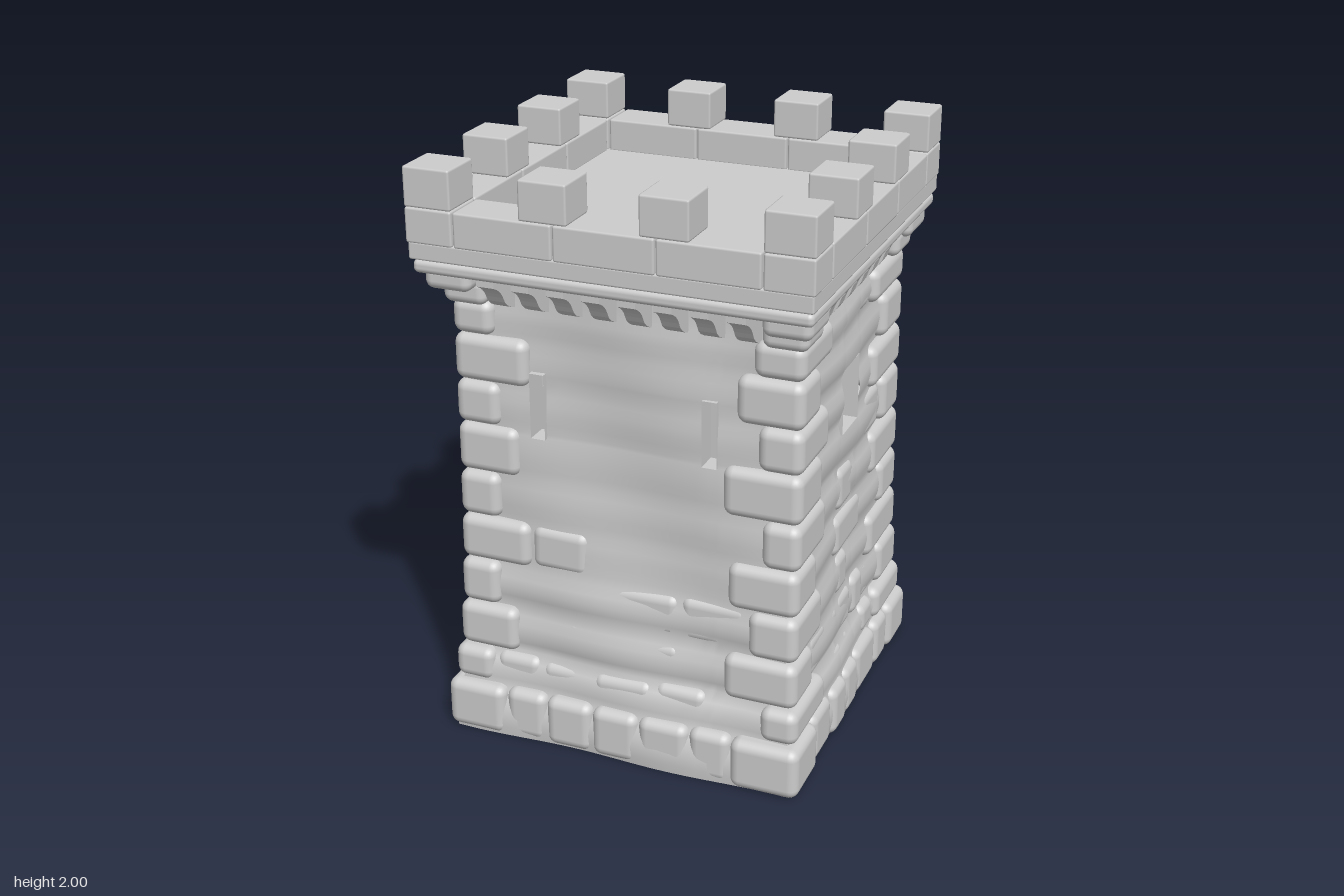
import * as THREE from 'three';
import { RoundedBoxGeometry } from 'three/addons/geometries/RoundedBoxGeometry.js';

const stone = new THREE.MeshStandardMaterial({ color: 0xcccccc, side: THREE.DoubleSide });
stone.name = 'light grey stone';

// Heights of the masonry courses, and outer half sizes [height, half size]
const courses = [0, 0.18, 0.3, 0.46, 0.62, 0.78, 0.94, 1.11, 1.26, 1.42, 1.54];
const halfX = [[0, 0.64], [0.18, 0.625], [0.3, 0.605], [0.6, 0.595], [1.7, 0.595]];
const halfZ = [[0, 0.64], [0.18, 0.605], [0.3, 0.575], [0.6, 0.55], [1, 0.535], [1.7, 0.53]];

function sample(profile, y) {
  for (let i = 1; i < profile.length; i++) {
    const [y0, a] = profile[i - 1], [y1, b] = profile[i];
    if (y <= y1) return a + (b - a) * (y - y0) / (y1 - y0);
  }
  return profile[profile.length - 1][1];
}

let seed = 11;
function rand() {
  seed = (seed * 16807) % 2147483647;
  return seed / 2147483647;
}

function add(parent, geometry, name, x = 0, y = 0, z = 0) {
  const mesh = new THREE.Mesh(geometry, stone);
  mesh.name = name;
  mesh.position.set(x, y, z);
  parent.add(mesh);
  return mesh;
}

function block(parent, name, w, h, d, x, y, z, radius = 0.008, segments = 1) {
  return add(parent, new RoundedBoxGeometry(w, h, d, segments, radius), name, x, y, z);
}

// Grid lines from a to b that also pass through the given edges
function lines(a, b, count, edges) {
  const list = [...edges];
  for (let i = 0; i <= count; i++) {
    const v = a + (b - a) * i / count;
    if (!edges.some(e => Math.abs(e - v) < 0.012)) list.push(v);
  }
  return list.sort((p, q) => p - q);
}

// Wall sheet with window openings; depth(u, y) shapes its face
function wallSheet(windows, edgeAt, depth, flip) {
  const us = lines(-0.56, 0.56, 24, windows.flatMap(w => [w.u - w.w / 2, w.u + w.w / 2]));
  const ys = lines(0, 1.67, 50, [windows[0].y0, windows[0].y1]);
  const pos = [], index = [], n = us.length;
  ys.forEach(y => us.forEach((u0, i) => {
    const u = i === 0 ? -edgeAt(y) : i === n - 1 ? edgeAt(y) : Math.max(-edgeAt(y), Math.min(edgeAt(y), u0));
    pos.push(u, y, depth(u, y));
  }));
  for (let j = 0; j < ys.length - 1; j++) {
    for (let i = 0; i < n - 1; i++) {
      const cu = (us[i] + us[i + 1]) / 2, cy = (ys[j] + ys[j + 1]) / 2;
      if (windows.some(w => Math.abs(cu - w.u) < w.w / 2 && cy > w.y0 && cy < w.y1)) continue;
      const a = j * n + i, b = a + 1, c = a + n, d = c + 1;
      if (flip) index.push(a, d, b, a, c, d);
      else index.push(a, b, d, a, d, c);
    }
  }
  const g = new THREE.BufferGeometry();
  g.setAttribute('position', new THREE.Float32BufferAttribute(pos, 3));
  g.setIndex(index);
  g.computeVertexNormals();
  return g;
}

// One side of the tower, built facing +z
function buildFace(name, across, out, windows, broad, phase) {
  const face = new THREE.Group();
  face.name = name;

  // Weathered outer wall and smooth inner lining
  const relief = (u, y) => {
    let bulge = 0;
    for (let i = 1; i < courses.length; i++) {
      if (y > courses[i - 1] && y < courses[i]) {
        bulge = Math.sin(Math.PI * (y - courses[i - 1]) / (courses[i] - courses[i - 1]));
      }
    }
    const strength = broad && y > 0.65 ? 0.006 : 0.02;
    return sample(out, y) - 0.035 + bulge * strength + 0.007 * Math.sin(u * 9 + y * 5 + phase);
  };
  add(face, wallSheet(windows, y => sample(across, y) - 0.04, relief, false), 'outerWall');
  const inner = y => sample(out, y) - 0.09;
  add(face, wallSheet(windows, y => sample(across, y) - 0.09, (u, y) => inner(y), true), 'innerWall');

  // Window reveals
  for (const w of windows) {
    const h = w.y1 - w.y0, cy = (w.y0 + w.y1) / 2, z = sample(out, cy) - 0.055;
    for (const s of [-1, 1]) {
      const side = add(face, new THREE.PlaneGeometry(0.08, h), 'windowSide', w.u + s * w.w / 2, cy, z);
      side.rotation.y = -s * Math.PI / 2;
      const ledge = add(face, new THREE.PlaneGeometry(w.w, 0.08), 'windowLedge', w.u, cy + s * h / 2, z);
      ledge.rotation.x = s * Math.PI / 2;
    }
  }

  // Corner stones, then scattered wall stones between them
  for (let i = 0; i < courses.length - 1; i++) {
    const y0 = courses[i], y1 = courses[i + 1], cy = (y0 + y1) / 2, h = y1 - y0;
    const edge = sample(across, cy), z = sample(out, cy) - 0.045;
    const long = (i % 2 === 0) === broad;
    const size = (broad ? 0.15 : 0.21) + (long ? 0.09 : 0);
    const ends = [];
    for (const s of [-1, 1]) {
      const len = size + (rand() - 0.5) * 0.05;
      ends.push(edge - len);
      block(face, 'cornerStone', len, h, 0.09, s * (edge - len / 2), cy, z, 0.035, 3);
    }
    const count = i === 0 ? 5 : i < 3 ? 5 : 3;
    const chance = i === 0 ? 1 : i < 3 ? 0.75 : broad ? (i < 4 ? 0.6 : 0.1) : 0.5;
    let u = -ends[0];
    const step = (ends[0] + ends[1]) / count;
    for (let k = 0; k < count; k++) {
      const next = k === count - 1 ? ends[1] : -ends[0] + step * (k + 1 + (rand() - 0.5) * 0.4);
      const mid = (u + next) / 2, len = next - u;
      const blocked = windows.some(w => y1 > w.y0 - 0.01 && y0 < w.y1 + 0.01
        && Math.abs(mid - w.u) < (len + w.w) / 2 + 0.01);
      if (rand() < chance && !blocked) {
        const inset = i === 0 ? rand() * 0.012 : 0.012 + rand() * 0.012;
        const height = i === 0 ? h : h * (0.88 + rand() * 0.12);
        const s = block(face, 'wallStone', len, height, 0.085, mid, y0 + height / 2, z - inset, 0.035, 3);
        if (i > 0) s.rotation.z = (rand() - 0.5) * 0.05;
      }
      u = next;
    }
  }

  // Curved corbels under the cornice
  const reach = 0.63 - sample(out, 1.6) + 0.05;
  const profile = new THREE.Shape();
  profile.moveTo(0, 1.52);
  profile.quadraticCurveTo(reach * 0.5, 1.54, reach * 0.6, 1.58);
  profile.quadraticCurveTo(reach * 0.7, 1.61, reach, 1.63);
  profile.lineTo(reach, 1.67);
  profile.lineTo(0, 1.67);
  const number = broad ? 8 : 6;
  for (let k = 0; k < number; k++) {
    const g = new THREE.ExtrudeGeometry(profile, { depth: 0.06, bevelEnabled: false, curveSegments: 4 });
    g.rotateY(-Math.PI / 2);
    const x = (k - (number - 1) / 2) * 0.118;
    add(face, g, 'corbel', x + 0.03, 0, sample(out, 1.6) - 0.05);
  }
  return face;
}

export function createModel() {
  const tower = new THREE.Group();
  tower.name = 'castleTower';

  // Four sides: slit windows front and back, one wide window on each flank
  const slits = s => [-0.305, 0.285].map(u => ({ u: u * s, w: 0.05, y0: 1.09, y1: 1.315 }));
  const wide = [{ u: 0, w: 0.16, y0: 1.07, y1: 1.3 }];
  ['frontSide', 'leftSide', 'backSide', 'rightSide'].forEach((name, i) => {
    const broad = i % 2 === 0;
    const windows = broad ? slits(i === 0 ? 1 : -1) : wide;
    const face = buildFace(name, broad ? halfX : halfZ, broad ? halfZ : halfX, windows, broad, i * 1.7);
    face.rotation.y = i * Math.PI / 2;
    tower.add(face);
  });

  // Flaring stones at the four corners
  for (const sx of [-1, 1]) {
    for (const sz of [-1, 1]) {
      block(tower, 'cornerFlareLower', 0.15, 0.09, 0.17, sx * 0.535, 1.575, sz * 0.47, 0.03, 3);
      block(tower, 'cornerFlareUpper', 0.16, 0.08, 0.19, sx * 0.56, 1.63, sz * 0.52, 0.03, 3);
    }
  }

  // Cornice and deck
  block(tower, 'cornice', 1.31, 0.045, 1.3, 0, 1.675, 0, 0.018, 3);
  block(tower, 'corniceNeck', 1.28, 0.02, 1.28, 0, 1.697, 0);
  block(tower, 'deck', 1.32, 0.06, 1.32, 0, 1.73, 0);

  // Parapet blocks and merlons
  const parapet = new THREE.Group();
  parapet.name = 'parapet';
  tower.add(parapet);
  for (let i = 0; i < 4; i++) {
    const side = new THREE.Group();
    side.name = 'parapetSide';
    side.rotation.y = i * Math.PI / 2;
    parapet.add(side);
    for (const x of [-0.334, 0, 0.334]) block(side, 'parapetBlock', 0.33, 0.115, 0.16, x, 1.8125, 0.584);
    for (const x of [-0.196, 0.196]) block(side, 'merlon', 0.16, 0.13, 0.16, x, 1.935, 0.584);
    block(side, 'cornerBlock', 0.16, 0.115, 0.16, 0.584, 1.8125, 0.584);
    block(side, 'cornerMerlon', 0.16, 0.13, 0.16, 0.584, 1.935, 0.584);
  }
  return tower;
}
